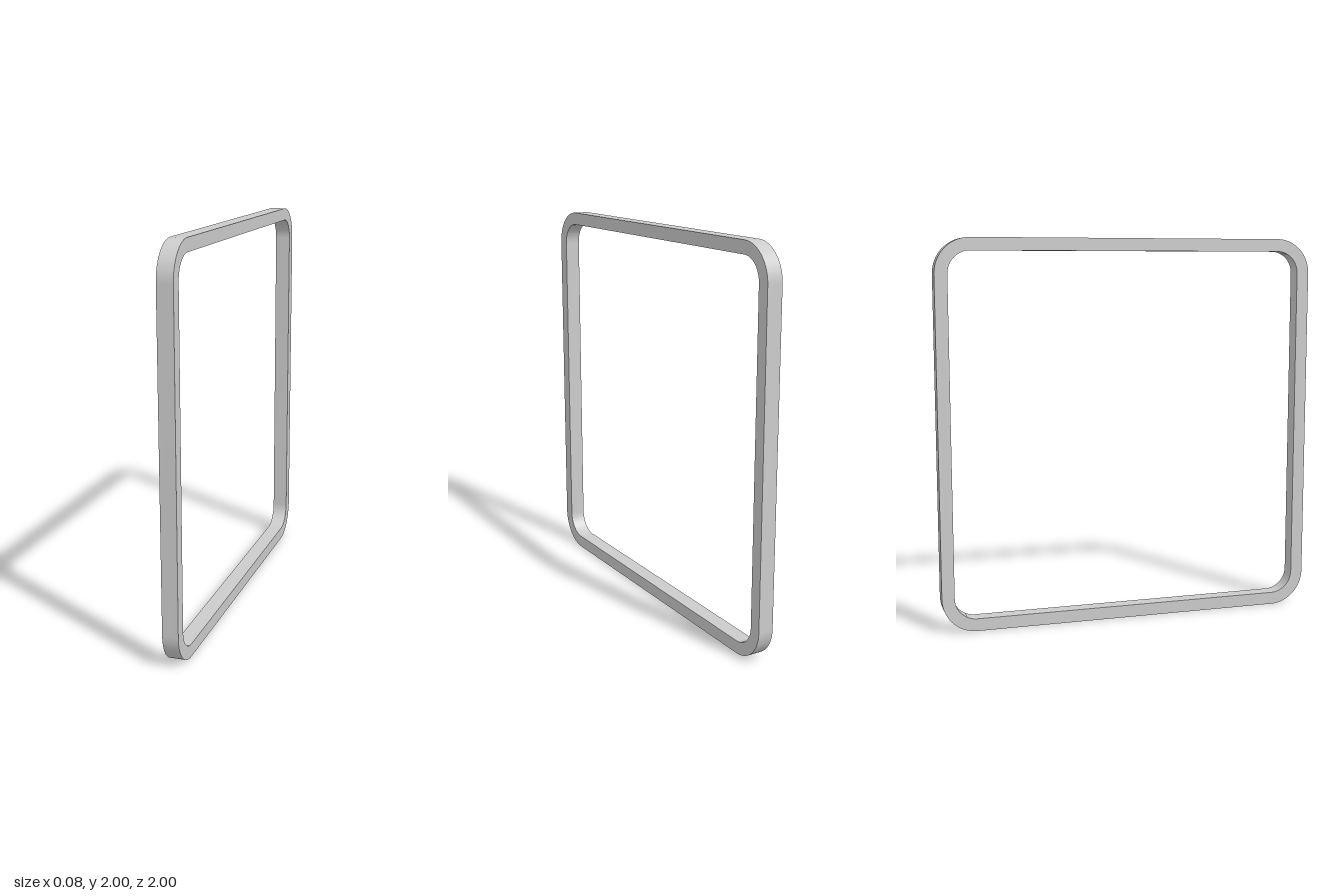
import * as THREE from 'three';
import { toCreasedNormals } from 'three/addons/utils/BufferGeometryUtils.js';

const HALF = 1;          // half of the outer side
const BAR = 0.065;       // bar thickness in the plane of the frame
const DEPTH = 0.08;      // bar width along x
const RADIUS = 0.18;     // outer corner radius

// Rounded square outline, one arc per corner
function roundedSquare(path, half, radius) {
  const c = half - radius;
  const corners = [[c, c], [-c, c], [-c, -c], [c, -c]];
  corners.forEach(([x, y], i) => {
    path.absarc(x, y, radius, i * Math.PI / 2, (i + 1) * Math.PI / 2, false);
  });
  path.closePath();
  return path;
}

export function createModel() {
  const group = new THREE.Group();
  group.name = 'squareFrame';

  // Outer outline with a concentric rounded opening
  const outline = roundedSquare(new THREE.Shape(), HALF, RADIUS);
  outline.holes.push(roundedSquare(new THREE.Path(), HALF - BAR, RADIUS - BAR));

  let geometry = new THREE.ExtrudeGeometry(outline, {
    depth: DEPTH, bevelEnabled: false, curveSegments: 16,
  });
  geometry.translate(0, 0, -DEPTH / 2);
  geometry.rotateY(Math.PI / 2);   // the opening faces along x
  geometry.translate(0, HALF, 0);
  geometry = toCreasedNormals(geometry, Math.PI / 6);

  const frame = new THREE.Mesh(geometry, new THREE.MeshStandardMaterial({ color: 0xcccccc }));
  frame.name = 'frame';
  group.add(frame);
  return group;
}
